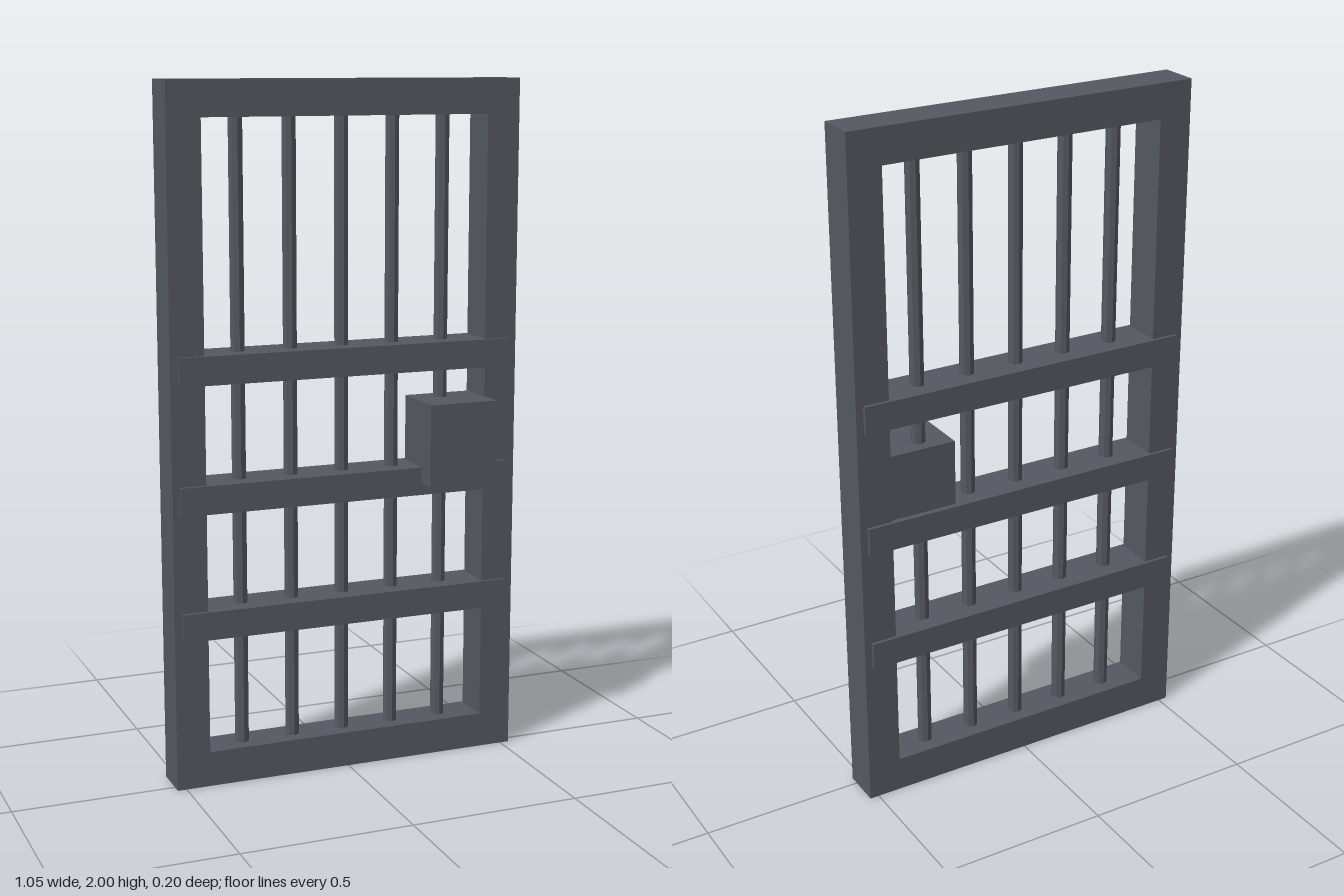
import * as THREE from 'three';

export function createModel() {
  const group = new THREE.Group();
  const iron = new THREE.MeshStandardMaterial({ color: 0x555860 });
  iron.name = 'dark iron';

  const add = (name, geometry, x, y, z) => {
    const mesh = new THREE.Mesh(geometry, iron);
    mesh.name = name;
    mesh.position.set(x, y, z);
    group.add(mesh);
  };
  const midZ = -0.031; // centre plane of the gate

  // Outer frame: one slab with a rectangular opening
  const rect = (target, w, y0, y1) => {
    target.moveTo(-w, y0);
    target.lineTo(w, y0);
    target.lineTo(w, y1);
    target.lineTo(-w, y1);
    target.closePath();
    return target;
  };
  const outline = rect(new THREE.Shape(), 0.527, 0, 2);
  outline.holes.push(rect(new THREE.Path(), 0.428, 0.103, 1.899));
  const depth = 0.118;
  add('frame', new THREE.ExtrudeGeometry(outline, { depth, bevelEnabled: false }), 0, 0, midZ - depth / 2);

  // Upright bars, faceted
  const barGeometry = new THREE.CylinderGeometry(0.021, 0.021, 1.84, 8).toNonIndexed();
  barGeometry.computeVertexNormals();
  for (let i = -2; i <= 2; i++) add('uprightBar', barGeometry, i * 0.156, 1, midZ);

  // Flat crossbars, slightly proud of the frame on both faces
  const crossGeometry = new THREE.BoxGeometry(1.01, 0.082, 0.138);
  for (const y of [0.481, 0.846, 1.211]) add('crossbar', crossGeometry, 0, y, midZ);

  // Lock case, projecting to the front
  add('lockCase', new THREE.BoxGeometry(0.208, 0.24, 0.182), 0.329, 0.961, 0.008);

  return group;
}
